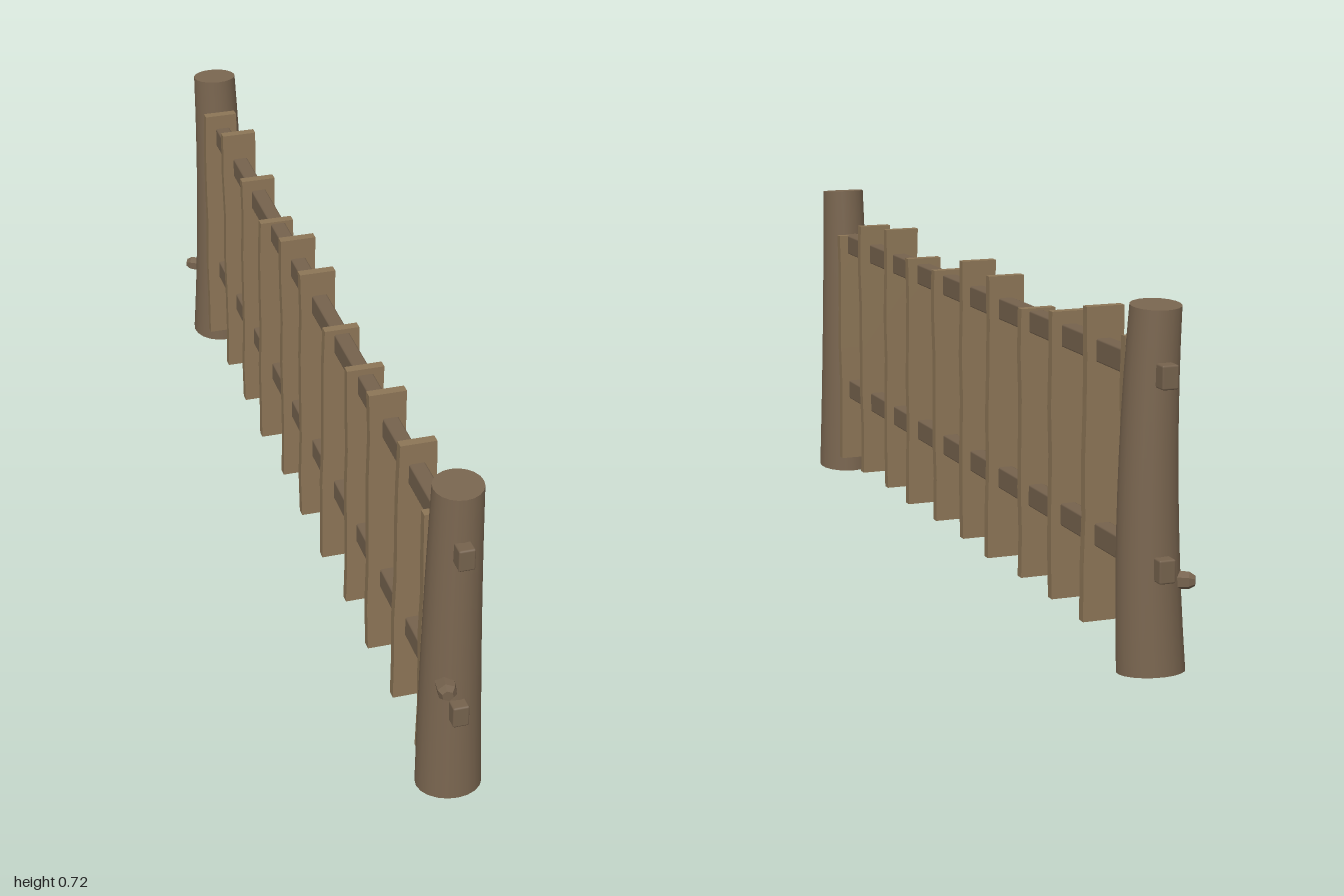
import * as THREE from 'three';
import { RoundedBoxGeometry } from 'three/addons/geometries/RoundedBoxGeometry.js';

const postMat = new THREE.MeshStandardMaterial({ color: 0x7a6650 });
const railMat = new THREE.MeshStandardMaterial({ color: 0x75624d });
const plankMat = new THREE.MeshStandardMaterial({ color: 0x8c7556 });
const knotMat = new THREE.MeshStandardMaterial({ color: 0x75624d, flatShading: true });

// Tapered trunk bowed towards the fence; its rings tilt with the bow
function makePost(side) {
  const half = 0.355;
  const geo = new THREE.CylinderGeometry(0.05, 0.067, half * 2, 20, 10);
  const p = geo.attributes.position;
  for (let i = 0; i < p.count; i++) {
    const t = p.getY(i) / half;
    const z = p.getZ(i) * 0.95;
    const slope = side * 0.09 * t;
    p.setXYZ(i,
      p.getX(i) + 0.006 + 0.003 * (1 - t * t),
      0.361 + t * half - slope * z,
      z + side * (0.915 + 0.017 * t * t));
  }
  const post = new THREE.Mesh(geo, postMat);
  post.name = side > 0 ? 'frontPost' : 'backPost';
  return post;
}

// Six-sided branch stub with a blunt tip, pointing along dir
function makeKnot(name, base, dir, length, radius) {
  const profile = [[0, 0], [1.15, 0], [1, 0.75], [0.6, 1], [0, 1]]
    .map(([r, y]) => new THREE.Vector2(r * radius, y * length));
  const knot = new THREE.Mesh(new THREE.LatheGeometry(profile, 6), knotMat);
  knot.name = name;
  knot.position.set(...base);
  knot.quaternion.setFromUnitVectors(
    new THREE.Vector3(0, 1, 0), new THREE.Vector3(...dir).normalize());
  return knot;
}

// Flat board with a slight lean and a worn, uneven outline
function makePlank(i, top) {
  const bottom = 0.04;
  const height = top - bottom;
  const geo = new THREE.BoxGeometry(0.078, height, 0.02, 1, 6, 1);
  const p = geo.attributes.position;
  for (let k = 0; k < p.count; k++) {
    const x = p.getX(k), y = p.getY(k);
    const wear = 0.0015 * Math.sin(y * 23 + i * 2.1 + Math.sign(x));
    p.setX(k, x + wear + 0.004 * Math.sin(i * 1.9) * y / height);
  }
  geo.computeVertexNormals();
  const plank = new THREE.Mesh(geo, plankMat);
  plank.name = `plank${i + 1}`;
  plank.position.set(0.003 + 0.003 * Math.sin(i * 2.4), bottom + height / 2, 0.858 - i * 0.1718);
  return plank;
}

export function createModel() {
  const fence = new THREE.Group();
  fence.name = 'fence';

  // End posts and their branch stubs
  fence.add(makePost(1), makePost(-1));
  fence.add(makeKnot('frontKnot', [-0.014, 0.275, 0.95], [-0.2, 0, 1], 0.049, 0.02));
  fence.add(makeKnot('backKnot', [-0.03, 0.186, -0.945], [-0.85, 0, -0.5], 0.044, 0.017));

  // Two rails through both posts
  [['lowerRail', 0.218], ['upperRail', 0.589]].forEach(([name, y]) => {
    const rail = new THREE.Mesh(new RoundedBoxGeometry(0.034, 0.047, 2, 1, 0.004), railMat);
    rail.name = name;
    rail.position.set(0.005, y, 0);
    fence.add(rail);
  });

  // Planks of uneven height, front to back
  const tops = [0.612, 0.658, 0.671, 0.626, 0.623, 0.668, 0.66, 0.617, 0.639, 0.676, 0.647];
  tops.forEach((top, i) => fence.add(makePlank(i, top)));

  return fence;
}
